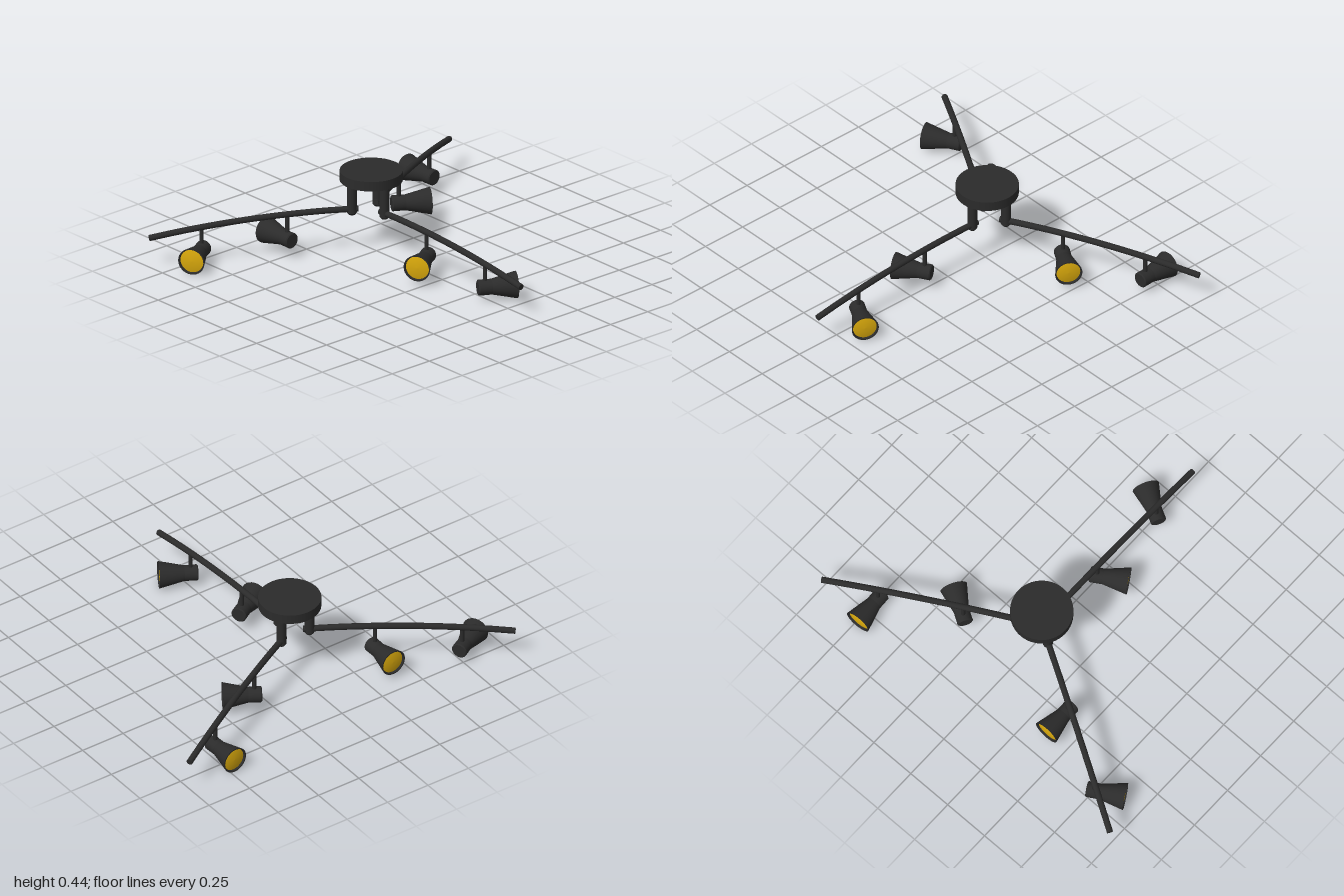
import * as THREE from 'three';

const black = new THREE.MeshStandardMaterial({ color: 0x2b2b2b });
const blackOpen = new THREE.MeshStandardMaterial({ color: 0x2b2b2b, side: THREE.DoubleSide });
const gold = new THREE.MeshStandardMaterial({ color: 0xd9a90c, side: THREE.DoubleSide });
const rad = THREE.MathUtils.degToRad;

function add(parent, name, geometry, material = black) {
  const mesh = new THREE.Mesh(geometry, material);
  mesh.name = name;
  parent.add(mesh);
  return mesh;
}

// Revolve a profile; a repeated point keeps its edge sharp
function lathe(points, segments = 32) {
  const pts = [];
  points.forEach(([r, y], i) => {
    pts.push(new THREE.Vector2(r, y));
    if (i > 0 && i < points.length - 1) pts.push(new THREE.Vector2(r, y));
  });
  return new THREE.LatheGeometry(pts, segments);
}

// Height of the bowed arm at distance d from the canopy axis
const armY = (d) => 0.236 - 0.078 * ((d - 0.2) / 0.94) ** 2;

// Spotlight hanging at the origin, aimed along local +z
function createSpotlight(stemLength) {
  const lamp = new THREE.Group();
  lamp.name = 'spotlight';
  add(lamp, 'lampStem', new THREE.CylinderGeometry(0.011, 0.011, stemLength, 16))
    .position.y = stemLength / 2;

  const head = new THREE.Group();
  head.name = 'lampHead';
  head.rotation.x = Math.PI / 2;
  head.position.z = -0.038;
  lamp.add(head);
  // Cylindrical back, flared shade, thin rim and inner wall
  add(head, 'lampShade', lathe([
    [0, 0], [0.036, 0], [0.041, 0.005], [0.04, 0.07], [0.07, 0.2], [0.064, 0.2], [0.06, 0.185],
  ]), blackOpen);
  // Slightly domed lens set just inside the rim
  add(head, 'lampLens', new THREE.LatheGeometry(
    [[0.062, 0.189], [0.045, 0.193], [0.022, 0.196], [0, 0.197]]
      .map(([r, y]) => new THREE.Vector2(r, y)), 32), gold);
  return lamp;
}

// One branch: post, bowed arm and two spotlights; aims are world headings in degrees
function createBranch(postAngle, armAngle, lamps) {
  const branch = new THREE.Group();
  branch.name = 'branch';
  branch.position.set(0.1 * Math.sin(rad(postAngle)), 0, 0.1 * Math.cos(rad(postAngle)));
  branch.rotation.y = rad(armAngle);

  add(branch, 'post', lathe([
    [0, 0.206], [0.017, 0.206], [0.025, 0.216], [0.025, 0.4],
  ], 24));

  const path = [];
  for (let i = 0; i <= 8; i++) {
    const d = 0.068 + (1.142 - 0.068) * i / 8;
    path.push(new THREE.Vector3(0, armY(d), d - 0.1));
  }
  add(branch, 'arm', new THREE.TubeGeometry(new THREE.CatmullRomCurve3(path), 40, 0.016, 14));
  // Flat end caps of the arm
  [[path[0], path[1]], [path[8], path[7]]].forEach(([end, next]) => {
    const cap = add(branch, 'armCap', new THREE.CircleGeometry(0.016, 14));
    cap.position.copy(end);
    cap.quaternion.setFromUnitVectors(new THREE.Vector3(0, 0, 1), end.clone().sub(next).normalize());
  });

  lamps.forEach(([d, y, aim]) => {
    const lamp = createSpotlight(armY(d) - y);
    lamp.position.set(0, y, d - 0.1);
    lamp.rotation.y = rad(aim - armAngle);
    branch.add(lamp);
  });
  return branch;
}

export function createModel() {
  const model = new THREE.Group();
  model.name = 'ceilingSpotlight';

  const fixture = new THREE.Group();
  fixture.name = 'fixture';
  fixture.position.set(-0.013, 0, -0.275);
  model.add(fixture);

  // Ceiling canopy
  add(fixture, 'canopy', new THREE.CylinderGeometry(0.16, 0.16, 0.052, 48)).position.y = 0.414;

  // Three branches: front, left, right
  fixture.add(
    createBranch(0, 0, [[0.42, 0.097, -59], [0.866, 0.071, 61]]),
    createBranch(120, 118.2, [[0.407, 0.098, 59], [0.85, 0.071, 183]]),
    createBranch(-120, -120.6, [[0.432, 0.097, 180], [0.873, 0.071, -60]]),
  );
  return model;
}
